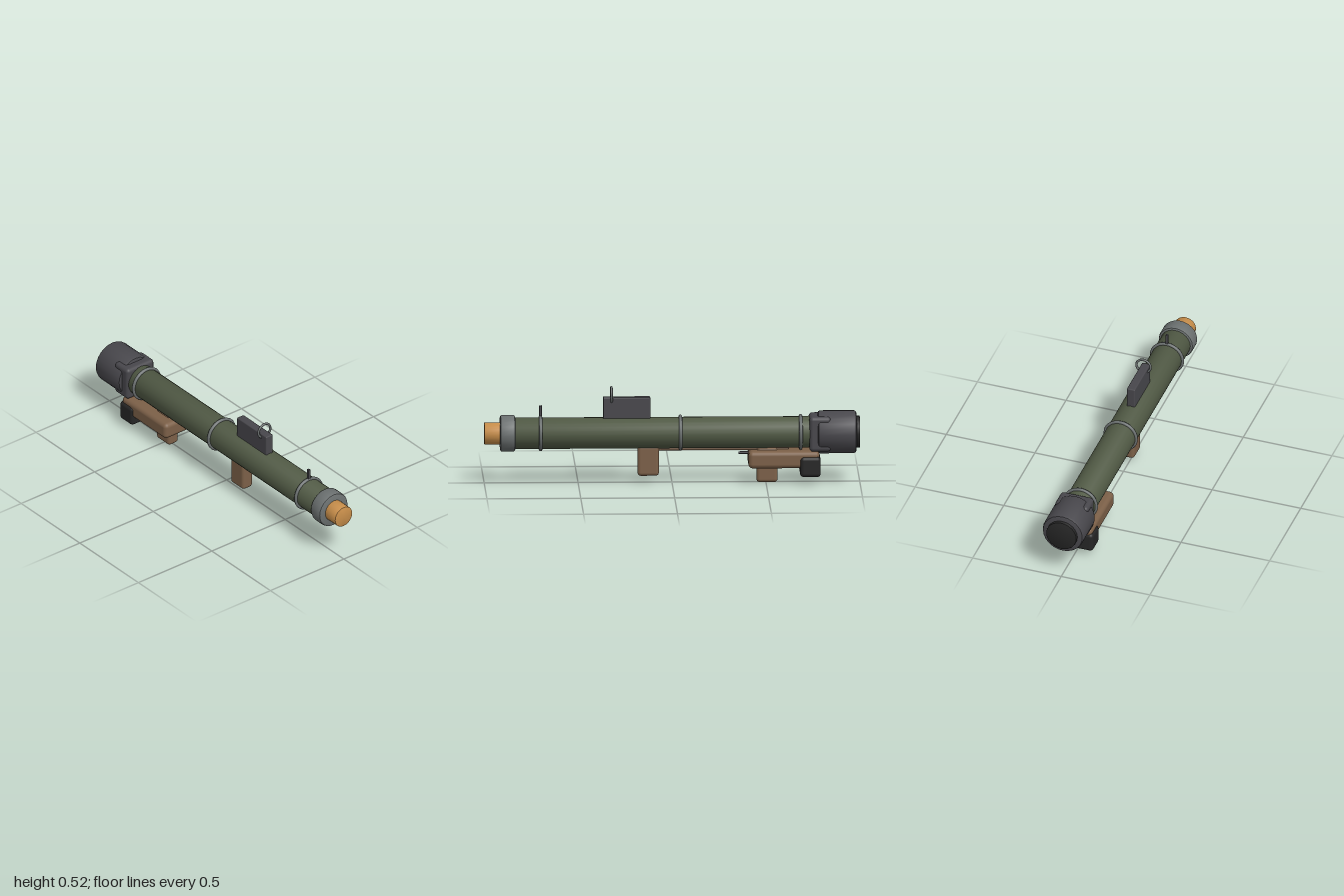
import * as THREE from 'three';
import { toCreasedNormals } from 'three/addons/utils/BufferGeometryUtils.js';
import { RoundedBoxGeometry } from 'three/addons/geometries/RoundedBoxGeometry.js';

const AXIS_Y = 0.267; // height of the tube's centre line

function material(name, color) {
  const m = new THREE.MeshStandardMaterial({ color });
  m.name = name;
  return m;
}

export function createModel() {
  const olive = material('olive', 0x515a45);
  const steel = material('steel grey', 0x6b7070);
  const darkGrey = material('dark grey', 0x48474c);
  const black = material('black', 0x262626);
  const brown = material('brown', 0x7c6048);
  const amber = material('amber', 0xc88e4a);

  const model = new THREE.Group();
  model.name = 'shoulderLauncher';

  function add(name, geometry, mat, x, y, z) {
    const mesh = new THREE.Mesh(geometry, mat);
    mesh.name = name;
    mesh.position.set(x, y, z);
    model.add(mesh);
    return mesh;
  }

  // Chamfered solid of revolution along z, between z0 (rear) and z1 (front)
  function drum(name, radius, z0, z1, bevel, mat) {
    const h = (z1 - z0) / 2;
    const profile = [
      [0, -h], [radius - bevel, -h], [radius - bevel * 0.3, -h + bevel * 0.3], [radius, -h + bevel],
      [radius, h - bevel], [radius - bevel * 0.3, h - bevel * 0.3], [radius - bevel, h], [0, h],
    ].map(([r, y]) => new THREE.Vector2(r, y));
    const geometry = new THREE.LatheGeometry(profile, 24);
    geometry.rotateX(Math.PI / 2);
    return add(name, toCreasedNormals(geometry, 0.6), mat, 0, AXIS_Y, (z0 + z1) / 2);
  }

  // Rounded block given by half width, y range, z range
  function block(name, halfWidth, y0, y1, z0, z1, radius, mat) {
    const geometry = new RoundedBoxGeometry(halfWidth * 2, y1 - y0, z1 - z0, 3, radius);
    return add(name, geometry, mat, 0, (y0 + y1) / 2, (z0 + z1) / 2);
  }

  // Thin rod along z
  function rod(name, radius, y, z0, z1, mat) {
    const geometry = new THREE.CylinderGeometry(radius, radius, z1 - z0, 10).rotateX(Math.PI / 2);
    return add(name, geometry, mat, 0, y, (z0 + z1) / 2);
  }

  // Launch tube, muzzle and warhead tip
  drum('launchTube', 0.084, -0.8, 0.86, 0.003, olive);
  drum('muzzleCollar', 0.098, 0.835, 0.916, 0.012, steel);
  drum('warheadTip', 0.059, 0.88, 1.0, 0.004, amber);

  // Clamp bands around the tube
  for (const z of [0.7, -0.045, -0.685]) {
    add('clampBand', new THREE.TorusGeometry(0.087, 0.0095, 8, 32), steel, 0, AXIS_Y, z);
  }

  // Rear end: square adapter, breech drum and end cap
  block('breechAdapter', 0.093, 0.173, 0.36, -0.845, -0.73, 0.02, darkGrey);
  drum('breech', 0.115, -0.982, -0.775, 0.014, darkGrey);
  drum('breechCap', 0.085, -1.0, -0.96, 0.002, black);

  // Sights on top
  block('frontSightPost', 0.007, 0.34, 0.417, 0.693, 0.707, 0.002, darkGrey);
  block('sightHousing', 0.023, 0.33, 0.461, 0.115, 0.367, 0.006, darkGrey);
  add('sightRing', new THREE.TorusGeometry(0.04, 0.0065, 8, 28), steel, 0, 0.473, 0.322);

  // Grips, linkage and trigger housing underneath
  block('frontGrip', 0.034, 0.037, 0.2, 0.07, 0.184, 0.018, brown);
  rod('linkageRod', 0.007, 0.178, -0.62, 0.1, brown);
  block('triggerHousing', 0.093, 0.083, 0.175, -0.785, -0.405, 0.024, brown);
  block('rearGrip', 0.034, 0, 0.187, -0.562, -0.45, 0.018, brown);
  rod('trigger', 0.007, 0.157, -0.45, -0.355, darkGrey);
  block('shoulderPad', 0.103, 0.037, 0.147, -0.79, -0.68, 0.02, black);

  return model;
}
